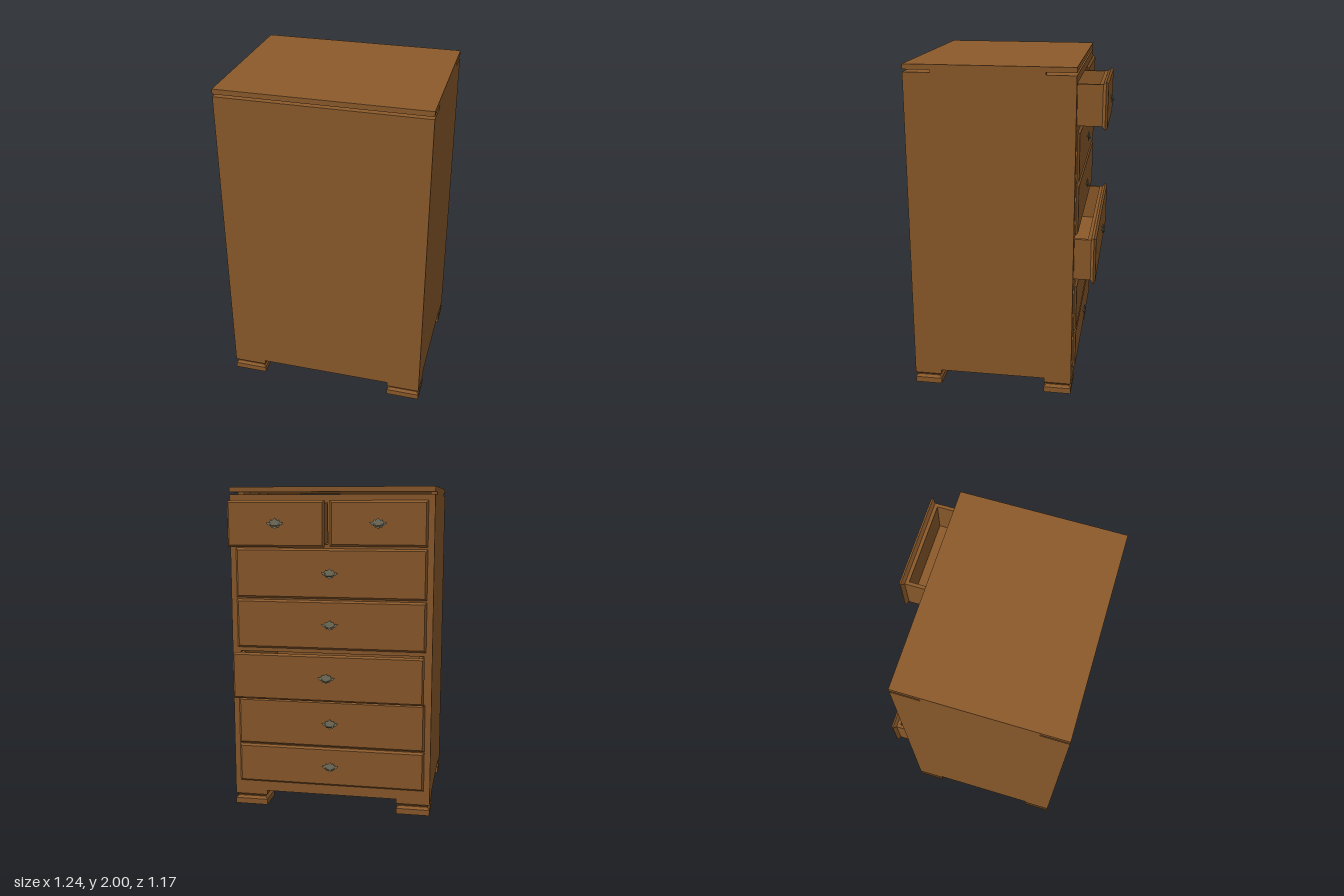
import * as THREE from 'three';

const wood = new THREE.MeshStandardMaterial({ color: 0x8b5a2b });
wood.name = 'brown wood';
const metal = new THREE.MeshStandardMaterial({ color: 0x77735f });
metal.name = 'aged metal';

const BACK = 0.58, FACE = -0.4, HALF = 0.62;

function add(parent, name, geometry, material = wood) {
  const mesh = new THREE.Mesh(geometry, material);
  mesh.name = name;
  parent.add(mesh);
  return mesh;
}

// Box given by its lower and upper corners
function slab(parent, name, x0, x1, y0, y1, z0, z1) {
  const mesh = add(parent, name, new THREE.BoxGeometry(x1 - x0, y1 - y0, z1 - z0));
  mesh.position.set((x0 + x1) / 2, (y0 + y1) / 2, (z0 + z1) / 2);
  return mesh;
}

// Rectangular block with a moulded edge: profile lists [z, inset], rising in z
function moulded(w, h, profile) {
  const p = [];
  const ring = profile.map(([z, inset]) => {
    const a = w / 2 - inset, b = h / 2 - inset;
    return [[-a, -b, z], [a, -b, z], [a, b, z], [-a, b, z]];
  });
  const quad = (a, b, c, d) => p.push(...a, ...b, ...c, ...a, ...c, ...d);
  for (let i = 0; i + 1 < ring.length; i++) {
    for (let k = 0; k < 4; k++) {
      const n = (k + 1) % 4;
      quad(ring[i][k], ring[i][n], ring[i + 1][n], ring[i + 1][k]);
    }
  }
  quad(...ring[0].slice().reverse());
  quad(...ring[ring.length - 1]);
  const g = new THREE.BufferGeometry();
  g.setAttribute('position', new THREE.Float32BufferAttribute(p, 3));
  g.computeVertexNormals();
  return g;
}

// Bat-wing plate with a hanging bail, facing +z
function makeHandle() {
  const handle = new THREE.Group();
  handle.name = 'handle';
  const outline = [[0, 0.034], [0.012, 0.022], [0.024, 0.024], [0.03, 0.012], [0.052, 0.008],
    [0.04, -0.006], [0.028, -0.01], [0.02, -0.022], [0.01, -0.02], [0, -0.03]];
  const mirrored = outline.slice(1, -1).reverse().map(([x, y]) => [-x, y]);
  const shape = new THREE.Shape([...outline, ...mirrored].map(([x, y]) => new THREE.Vector2(x, y)));
  const plate = add(handle, 'handlePlate',
    new THREE.ExtrudeGeometry(shape, { depth: 0.004, bevelEnabled: false }), metal);
  plate.position.z = 0.006;
  const path = new THREE.CatmullRomCurve3([[-0.03, 0.004, 0.009], [-0.022, -0.008, 0.015],
    [0, -0.013, 0.02], [0.022, -0.008, 0.015], [0.03, 0.004, 0.009]]
    .map((v) => new THREE.Vector3(...v)));
  add(handle, 'handleBail', new THREE.TubeGeometry(path, 16, 0.003, 6), metal);
  for (const s of [-1, 1]) {
    const post = add(handle, 'handlePost', new THREE.CylinderGeometry(0.004, 0.004, 0.014, 8), metal);
    post.rotation.x = Math.PI / 2;
    post.position.set(s * 0.03, 0.004, 0.006);
  }
  return handle;
}

// Open tray with a moulded front; pull is how far it slides out
function makeDrawer({ x0, x1, y0, y1, pull }) {
  const drawer = new THREE.Group();
  drawer.name = 'drawer';
  const cx = (x0 + x1) / 2, cy = (y0 + y1) / 2;
  const zf = -0.39 - pull, zb = 0.5 - pull;
  const front = add(drawer, 'drawerFront',
    moulded(x1 - x0, y1 - y0, [[0, 0.02], [0.017, 0], [0.03, 0.012]]));
  front.rotation.y = Math.PI;
  front.position.set(cx, cy, zf);

  const l = x0 + 0.02, r = x1 - 0.02, b = y0 + 0.018, t = y1 - 0.018, k = 0.02;
  slab(drawer, 'drawerBottom', l, r, b, b + k, zf, zb);
  slab(drawer, 'drawerSide', l, l + k, b + k, t, zf, zb);
  slab(drawer, 'drawerSide', r - k, r, b + k, t, zf, zb);
  slab(drawer, 'drawerInnerFront', l + k, r - k, b + k, t, zf, zf + k);
  slab(drawer, 'drawerBack', l + k, r - k, b + k, t, zb - k, zb);

  const handle = makeHandle();
  handle.rotation.y = Math.PI;
  handle.position.set(cx, cy, zf - 0.03);
  drawer.add(handle);
  return drawer;
}

export function createModel() {
  const chest = new THREE.Group();
  chest.name = 'chestOfDrawers';

  const wide = (y0, y1, pull = 0) => ({ x0: -0.583, x1: 0.583, y0, y1, pull });
  const drawers = [
    { x0: 0, x1: 0.583, y0: 1.65, y1: 1.92, pull: 0.15 },
    { x0: -0.583, x1: 0, y0: 1.65, y1: 1.92, pull: 0 },
    wide(1.335, 1.637), wide(1.025, 1.325), wide(0.725, 1.012, 0.108),
    wide(0.41, 0.705), wide(0.16, 0.405),
  ];

  // Carcass
  const y0 = 0.095, y1 = 1.955, w = 0.03;
  for (const s of [-1, 1]) {
    const a = s * HALF, b = s * (HALF - w);
    slab(chest, 'sidePanel', Math.min(a, b), Math.max(a, b), y0, y1, FACE + w, BACK);
    const c = s * 0.58;
    slab(chest, 'topSpacer', Math.min(a, c), Math.max(a, c), y1, 1.97, -0.23, 0.42);
  }
  slab(chest, 'backPanel', -HALF + w, HALF - w, y0, y1, BACK - w, BACK);
  slab(chest, 'bottomPanel', -HALF + w, HALF - w, y0, y0 + w, FACE + w, BACK - w);
  slab(chest, 'upperPanel', -HALF + w, HALF - w, y1 - w, y1, FACE + w, BACK - w);
  slab(chest, 'top', -HALF, HALF, 1.97, 2, FACE, BACK);

  // Face frame with one opening for each drawer
  const rect = (T, l, r, b, t) => new T([[l, b], [r, b], [r, t], [l, t]]
    .map(([x, y]) => new THREE.Vector2(x, y)));
  const frame = rect(THREE.Shape, -HALF, HALF, y0, y1);
  for (const d of drawers) {
    frame.holes.push(rect(THREE.Path, d.x0 + 0.014, d.x1 - 0.014, d.y0 + 0.012, d.y1 - 0.012));
  }
  const face = add(chest, 'faceFrame',
    new THREE.ExtrudeGeometry(frame, { depth: w, bevelEnabled: false }));
  face.position.z = FACE;

  for (const d of drawers) chest.add(makeDrawer(d));

  // Feet with a waisted moulding
  const footProfile = [[0, 0], [0.035, 0], [0.05, 0.014], [0.054, 0.014], [0.068, 0], [0.097, 0]];
  for (const x of [-0.517, 0.517]) {
    for (const z of [FACE + 0.083, BACK - 0.083]) {
      const foot = add(chest, 'foot', moulded(0.206, 0.166, footProfile));
      foot.rotation.x = -Math.PI / 2;
      foot.position.set(x, 0, z);
    }
  }
  return chest;
}
